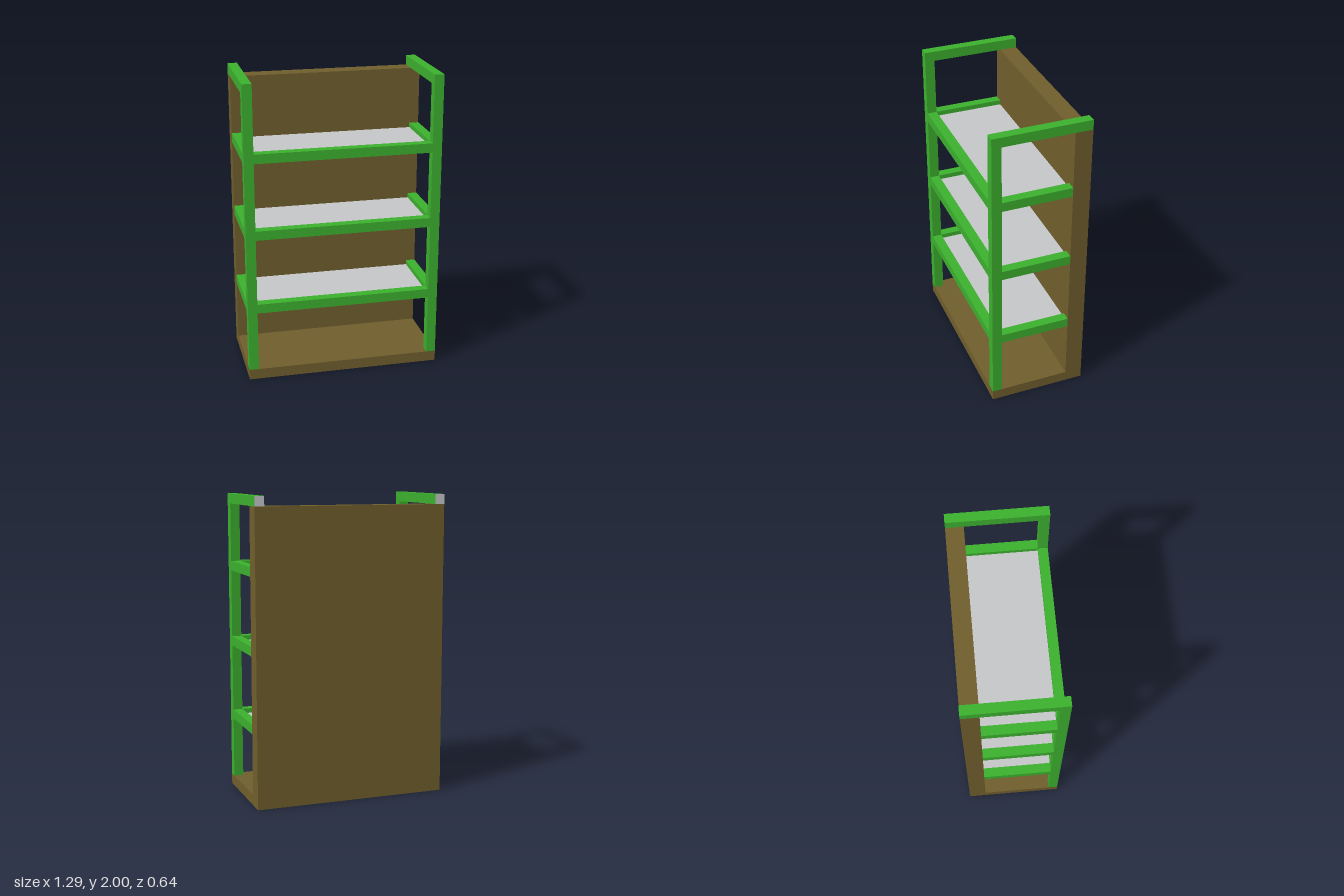
import * as THREE from 'three';

export function createModel() {
  const model = new THREE.Group();
  const green = new THREE.MeshStandardMaterial({ color: 0x3cb02e });
  green.name = 'green frame';
  const brown = new THREE.MeshStandardMaterial({ color: 0x705e2c, side: THREE.DoubleSide });
  brown.name = 'brown panel';
  const grey = new THREE.MeshStandardMaterial({ color: 0xc6c7c9, side: THREE.DoubleSide });
  grey.name = 'grey shelf';

  const X = 0.643, Z = 0.322;      // half width and half depth
  const IX = 0.58, IZ = 0.258;     // inner faces of the posts
  const BACK = -0.207;             // front face of the back panel
  const BASE = 0.07, TOP = 1.935;  // base top, back panel top

  // Box given by its two opposite corners
  function box(name, material, [x0, y0, z0], [x1, y1, z1]) {
    const geometry = new THREE.BoxGeometry(x1 - x0, y1 - y0, z1 - z0);
    geometry.translate((x0 + x1) / 2, (y0 + y1) / 2, (z0 + z1) / 2);
    const mesh = new THREE.Mesh(geometry, material);
    mesh.name = name;
    model.add(mesh);
    return mesh;
  }

  // Base tray, hollow and open underneath
  const base = box('base', brown, [-X, 0, -Z], [X, BASE, Z]);
  const index = Array.from(base.geometry.index.array);
  index.splice(18, 6); // drop the bottom face
  base.geometry.setIndex(index);
  base.geometry.clearGroups();

  box('backPanel', brown, [-X, BASE, -Z], [X, TOP, BACK]);

  // Posts and top rails; the rails have grey back ends
  const railFaces = [green, green, green, green, green, grey];
  for (const [side, x0, x1] of [['left', IX, X], ['right', -X, -IX]]) {
    box(side + 'Post', green, [x0, BASE, IZ], [x1, 2, Z]);
    box(side + 'TopRail', railFaces, [x0, TOP, -Z], [x1, 2, IZ]);
  }

  // Three shelves, each a thin sheet set halfway up its rails
  [0.475, 0.983, 1.492].forEach((y, i) => {
    const top = y + 0.062;
    const n = i + 1;
    box('shelfFrontRail' + n, green, [-IX, y, IZ], [IX, top, Z]);
    box('shelfLeftRail' + n, green, [IX, y, BACK], [X, top, IZ]);
    box('shelfRightRail' + n, green, [-X, y, BACK], [-IX, top, IZ]);
    const sheet = new THREE.Mesh(new THREE.PlaneGeometry(2 * IX, IZ - BACK), grey);
    sheet.name = 'shelf' + n;
    sheet.rotation.x = -Math.PI / 2;
    sheet.position.set(0, y + 0.031, (IZ + BACK) / 2);
    model.add(sheet);
  });

  return model;
}
